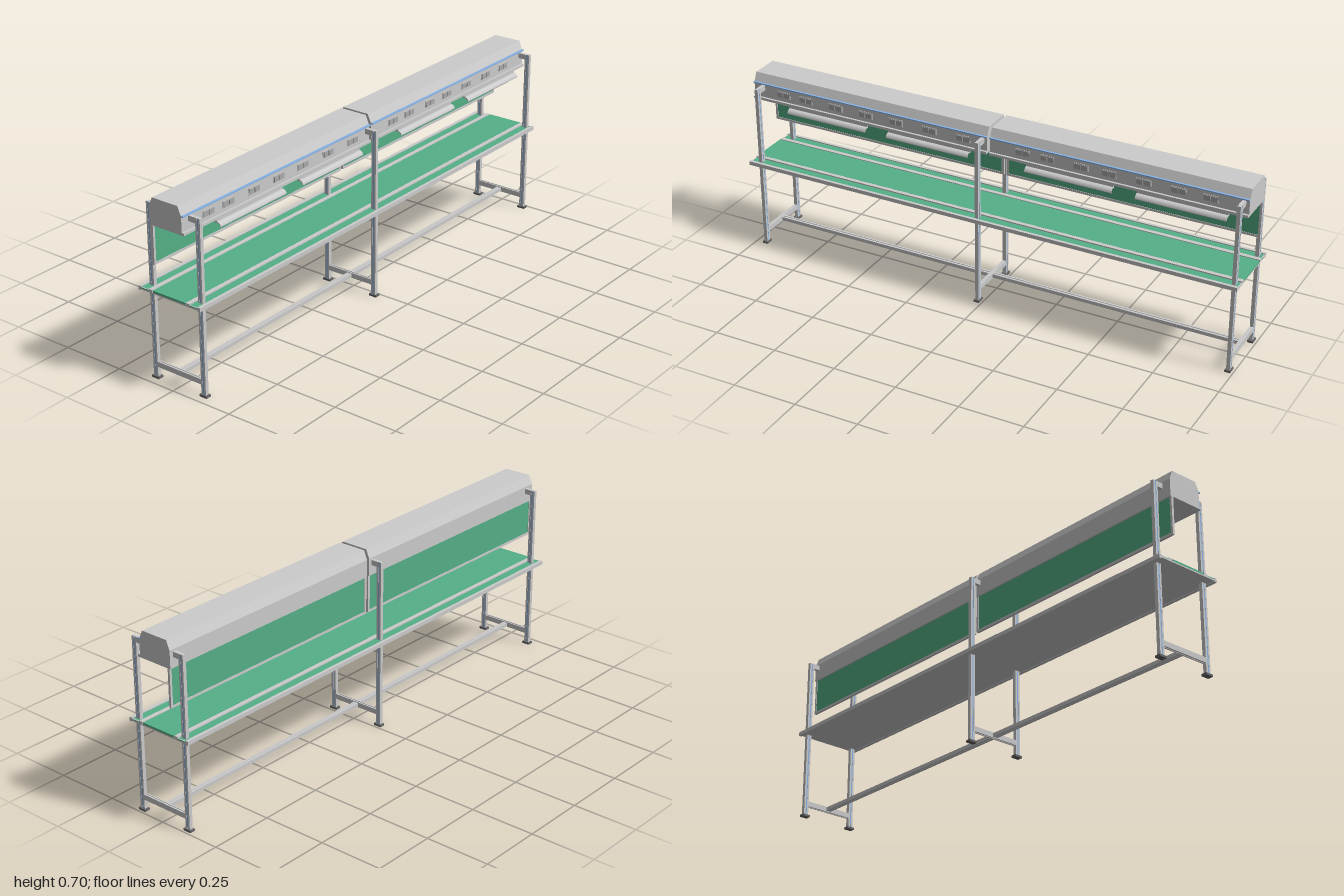
import * as THREE from 'three';

const paint = (color) => new THREE.MeshStandardMaterial({ color });
const GREY = paint(0xcccccc);
const GREEN = paint(0x55b087);
const BLUE = paint(0x88b4e8);
const DARK = paint(0x666666);

// Box given by its lower and upper corners
function box(parent, name, [x0, x1], [y0, y1], [z0, z1], mat = GREY) {
  const mesh = new THREE.Mesh(new THREE.BoxGeometry(x1 - x0, y1 - y0, z1 - z0), mat);
  mesh.position.set((x0 + x1) / 2, (y0 + y1) / 2, (z0 + z1) / 2);
  mesh.name = name;
  parent.add(mesh);
  return mesh;
}

// Outline in x and y, extruded from z0 to z1
function extrudeZ(parent, name, points, z0, z1, mat = GREY) {
  const shape = new THREE.Shape(points.map(([x, y]) => new THREE.Vector2(x, y)));
  const geo = new THREE.ExtrudeGeometry(shape, { depth: z1 - z0, bevelEnabled: false });
  const mesh = new THREE.Mesh(geo, mat);
  mesh.position.z = z0;
  mesh.name = name;
  parent.add(mesh);
  return mesh;
}

// Rectangular bar profile with a slot along its two long faces
function slottedOutline(w, h, slot, depth) {
  const a = w / 2, b = h / 2, s = slot / 2, c = b - depth;
  return [[-a, -b], [-s, -b], [-s, -c], [s, -c], [s, -b], [a, -b],
    [a, b], [s, b], [s, c], [-s, c], [-s, b], [-a, b]];
}

// Upright post: slotted profile, coloured slot inserts and a foot plate
function post(parent, x, z) {
  const g = new THREE.Group();
  g.name = 'post';
  const bar = extrudeZ(g, 'postProfile', slottedOutline(0.02, 0.014, 0.005, 0.002), 0, 0.652);
  bar.rotation.x = -Math.PI / 2;
  bar.position.set(0, 0.008, 0);
  for (const s of [-1, 1]) {
    const zs = s * 0.0055;
    box(g, 'slotInsert', [-0.0025, 0.0025], [0.008, 0.659], [zs - 0.001, zs + 0.001], BLUE);
  }
  box(g, 'foot', [-0.016, 0.016], [0, 0.008], [-0.011, 0.011], DARK);
  g.position.set(x, 0, z);
  parent.add(g);
}

// One support frame: two posts, a foot bar and the arms holding the hood
function supportFrame(parent, z) {
  const g = new THREE.Group();
  g.name = 'supportFrame';
  post(g, -0.107, 0);
  post(g, 0.11, 0);
  const bar = extrudeZ(g, 'footBar', slottedOutline(0.014, 0.02, 0.004, 0.002), -0.097, 0.1);
  bar.rotation.y = Math.PI / 2;
  bar.position.set(-0.097, 0.055, 0);
  box(g, 'hoodArm', [-0.097, -0.072], [0.64, 0.66], [-0.007, 0.007]);
  box(g, 'hoodArm', [0.076, 0.1], [0.64, 0.66], [-0.007, 0.007]);
  box(g, 'hoodArmPlate', [0.07, 0.076], [0.64, 0.66], [-0.007, 0.007]);
  g.position.z = z;
  parent.add(g);
}

// Work table with a centre belt, side work strips and rails
function table(parent) {
  const g = new THREE.Group();
  g.name = 'table';
  const ends = [-1, 1];
  box(g, 'deck', [-0.127, 0.126], [0.345, 0.35], ends);
  box(g, 'belt', [-0.072, 0.073], [0.35, 0.357], ends, GREEN);
  for (const s of [-1, 1]) {
    const span = (a, b) => (s < 0 ? [-b, -a] : [a, b]);
    box(g, 'workStrip', span(0.091, 0.126), [0.35, 0.3535], ends, GREEN);
    box(g, 'beltRail', span(0.075, 0.091), [0.35, 0.358], ends);
    box(g, 'edgeRail', span(0.126, 0.138), [0.342, 0.357], ends);
    box(g, 'endStrip', span(0.091, 0.126), [0.345, 0.3538], [0.996, 1]);
    box(g, 'endStrip', span(0.091, 0.126), [0.345, 0.3538], [-1, -0.996]);
  }
  parent.add(g);
}

// Long shade curling out and down beside the hood
function lampShade(parent, z0, z1) {
  const curve = new THREE.QuadraticBezierCurve(
    new THREE.Vector2(0.078, 0.594), new THREE.Vector2(0.093, 0.594), new THREE.Vector2(0.096, 0.579));
  const outer = curve.getPoints(8);
  const inner = outer.map((p) => new THREE.Vector2(p.x - 0.002, p.y - 0.003)).reverse();
  extrudeZ(parent, 'lampShade', [...outer, ...inner].map((p) => [p.x, p.y]), z0, z1);
}

// Double socket on the hood wall
function socket(parent, z) {
  box(parent, 'socketPlate', [0.07, 0.072], [0.624, 0.65], [z - 0.029, z + 0.029]);
  for (const s of [-1, 1]) {
    const c = z + s * 0.014;
    box(parent, 'socket', [0.071, 0.0745], [0.627, 0.647], [c - 0.012, c + 0.012], paint(0xaaaaaa));
  }
}

// One half of the hood with its hanging screen, sockets and lamps
function hoodSection(parent, z0, z1, sockets, lamps) {
  const g = new THREE.Group();
  g.name = 'hoodSection';
  extrudeZ(g, 'hoodBody', [[-0.071, 0.6], [0.07, 0.6], [0.07, 0.667]].concat(
    [[-0.071, 0.667]]), z0, z1);
  extrudeZ(g, 'hoodRoof', [[-0.071, 0.667], [0.07, 0.667], [0.055, 0.701], [-0.057, 0.701]], z0, z1);
  box(g, 'cableRail', [0.069, 0.078], [0.665, 0.669], [z0, z1], BLUE);
  box(g, 'lampRail', [0.07, 0.079], [0.6, 0.61], [z0, z1]);

  // Framed screen below the back edge
  const x = [-0.067, -0.058], y0 = 0.455, t = 0.009;
  box(g, 'screen', [-0.065, -0.06], [y0 + t, 0.6], [z0 + t, z1 - t], GREEN);
  box(g, 'screenBottom', x, [y0, y0 + t], [z0, z1]);
  box(g, 'screenSide', x, [y0 + t, 0.6], [z0, z0 + t]);
  box(g, 'screenSide', x, [y0 + t, 0.6], [z1 - t, z1]);

  for (const z of sockets) socket(g, z);
  for (const [a, b] of lamps) {
    box(g, 'lampBody', [0.072, 0.079], [0.588, 0.602], [a, b]);
    lampShade(g, a, b);
  }
  parent.add(g);
}

export function createModel() {
  const model = new THREE.Group();
  model.name = 'assemblyBench';
  for (const z of [0.96, 0.02, -0.98]) supportFrame(model, z);

  // Long bar joining the foot bars
  const beam = extrudeZ(model, 'floorBeam', slottedOutline(0.02, 0.014, 0.004, 0.002), -0.98, 0.96);
  beam.position.y = 0.055;

  table(model);
  hoodSection(model, 0.002, 1, [0.87, 0.77, 0.64, 0.51, 0.38, 0.24, 0.1],
    [[0.5, 0.84], [0.07, 0.41]]);
  hoodSection(model, -1, -0.01, [-0.14, -0.24, -0.37, -0.48, -0.61, -0.74, -0.86],
    [[-0.5, -0.16], [-0.93, -0.59]]);
  return model;
}
